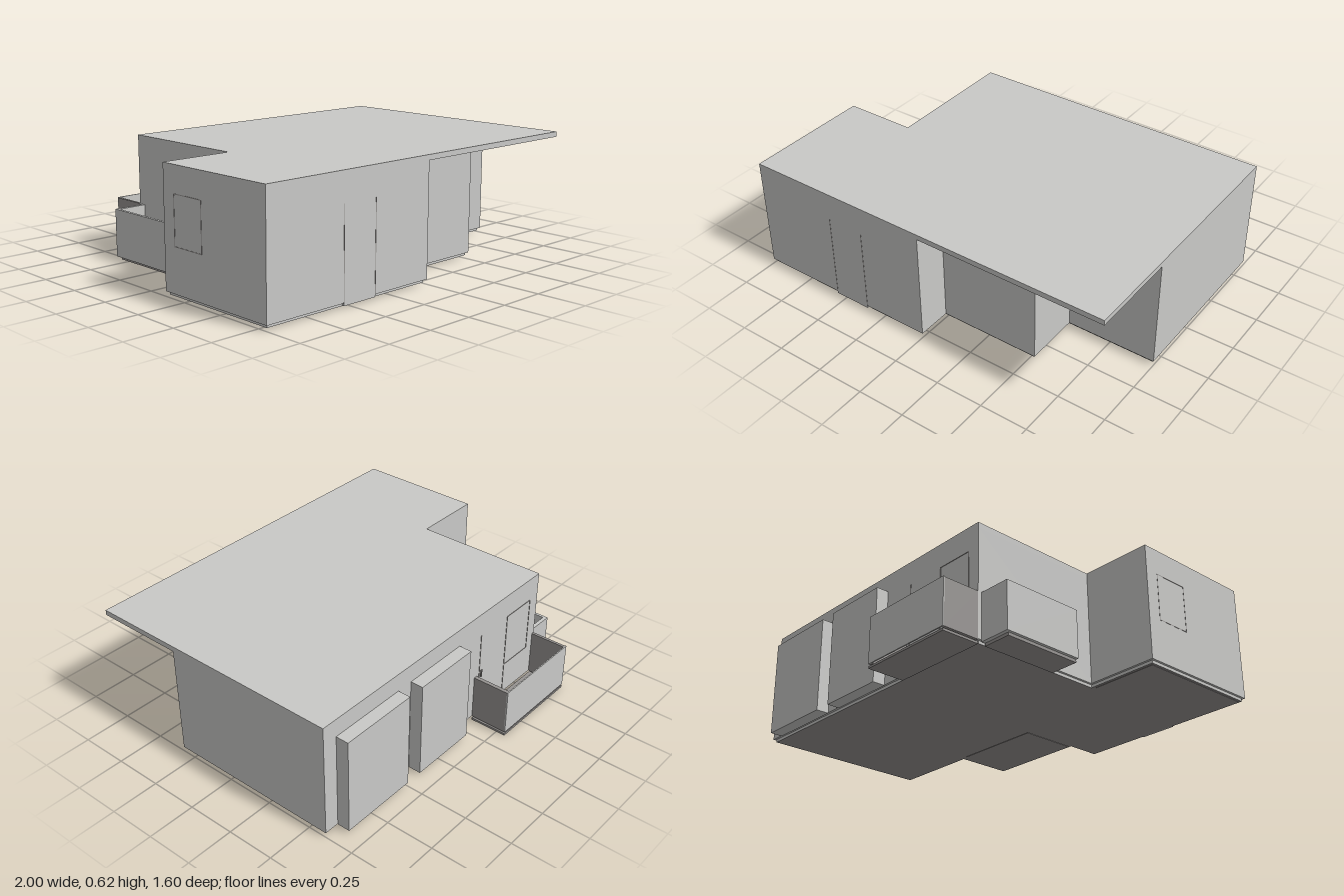
import * as THREE from 'three';

export function createModel() {
  const model = new THREE.Group();
  model.name = 'apartment';
  const wall = new THREE.MeshStandardMaterial({ color: 0xc9c9c7 });
  wall.name = 'wall light grey';
  const floor = new THREE.MeshStandardMaterial({ color: 0x969391 });
  floor.name = 'floor dark grey';

  // Box between two corners
  function box(name, mat, x0, x1, y0, y1, z0, z1, parent = model) {
    const mesh = new THREE.Mesh(new THREE.BoxGeometry(x1 - x0, y1 - y0, z1 - z0), mat);
    mesh.position.set((x0 + x1) / 2, (y0 + y1) / 2, (z0 + z1) / 2);
    mesh.name = name;
    parent.add(mesh);
    return mesh;
  }

  // Upright prism over an (x, z) outline
  function prism(name, mat, outline, y0, y1) {
    const shape = new THREE.Shape(outline.map(([x, z]) => new THREE.Vector2(x, -z)));
    const geo = new THREE.ExtrudeGeometry(shape, { depth: y1 - y0, bevelEnabled: false });
    geo.rotateX(-Math.PI / 2);
    geo.translate(0, y0, 0);
    const mesh = new THREE.Mesh(geo, mat);
    mesh.name = name;
    model.add(mesh);
  }

  // Plan outline, with the front wall stepping back; inset by d
  const plan = (d) => [
    [-1 + d, 0.8 - d], [0 - d, 0.8 - d], [0 - d, 0.62 - d], [0.53 - d, 0.62 - d],
    [0.53 - d, 0.325 - d], [1 - d, 0.325 - d], [1 - d, -0.6 + d], [-0.625 + d, -0.6 + d],
    [-0.625 + d, 0.115 + d], [-1 + d, 0.115 + d],
  ];

  prism('walls', wall, plan(0), 0.025, 0.59);
  prism('roof', wall, [
    [-1, 0.8], [1, 0.8], [1, -0.6], [-0.625, -0.6], [-0.625, 0.115], [-1, 0.115],
  ], 0.59, 0.617);
  // Floor slab: dark underside, light rim
  prism('floorSlab', [floor, wall], plan(0.012), 0.01, 0.025);
  box('hallFloor', floor, -0.976, -0.63, 0.008, 0.018, 0.14, 0.78);
  box('roomFloor', floor, 0, 0.485, 0.008, 0.018, 0.3, 0.605);

  // Rear bays
  for (const [x0, x1] of [[0.04, 0.41], [0.5, 0.92]]) {
    box('rearBay', wall, x0, x1, 0.022, 0.525, -0.667, -0.6);
  }

  // Rear balcony
  const rear = new THREE.Group();
  rear.name = 'rearBalcony';
  model.add(rear);
  box('balconyFloor', floor, -0.625, -0.1, 0, 0.012, -0.798, -0.6, rear);
  box('balconyFront', wall, -0.625, -0.1, 0.022, 0.263, -0.8, -0.794, rear);
  box('balconyEnd', floor, -0.625, -0.61, 0.022, 0.26, -0.794, -0.6, rear);
  box('balconyEnd', floor, -0.12, -0.1, 0.022, 0.26, -0.794, -0.6, rear);

  // Side balcony, open towards the front
  const side = new THREE.Group();
  side.name = 'sideBalcony';
  model.add(side);
  box('balconyFloor', floor, -0.775, -0.625, 0, 0.015, -0.56, -0.145, side);
  box('balconyFront', wall, -0.79, -0.775, 0.015, 0.26, -0.58, -0.145, side);
  box('balconyEnd', wall, -0.775, -0.625, 0.015, 0.26, -0.58, -0.56, side);

  // Front door joints and the sill below
  for (const x of [-0.55, -0.352]) {
    box('doorJoint', floor, x - 0.002, x + 0.002, 0.025, 0.47, 0.797, 0.801);
  }
  box('doorSill', wall, -0.55, -0.352, 0.012, 0.026, 0.785, 0.8);

  // Balcony door and window outlines on the rear wall
  const zr = -0.602;
  for (const x of [-0.14, -0.36]) {
    box('balconyDoorJoint', floor, x - 0.003, x + 0.003, 0.025, 0.49, zr, -0.598);
  }
  box('doorHandle', floor, -0.158, -0.15, 0.24, 0.28, -0.606, -0.6);
  for (const y of [0.2, 0.49]) {
    box('rearWindowRail', floor, -0.56, -0.36, y - 0.002, y + 0.002, zr, -0.598);
  }
  box('rearWindowStile', floor, -0.562, -0.558, 0.2, 0.49, zr, -0.598);

  // Window outline on the side wall
  for (const y of [0.245, 0.485]) {
    box('sideWindowRail', floor, -1.001, -0.998, y - 0.002, y + 0.002, 0.19, 0.38);
  }
  for (const z of [0.19, 0.38]) {
    box('sideWindowStile', floor, -1.001, -0.998, 0.245, 0.485, z - 0.002, z + 0.002);
  }

  return model;
}
